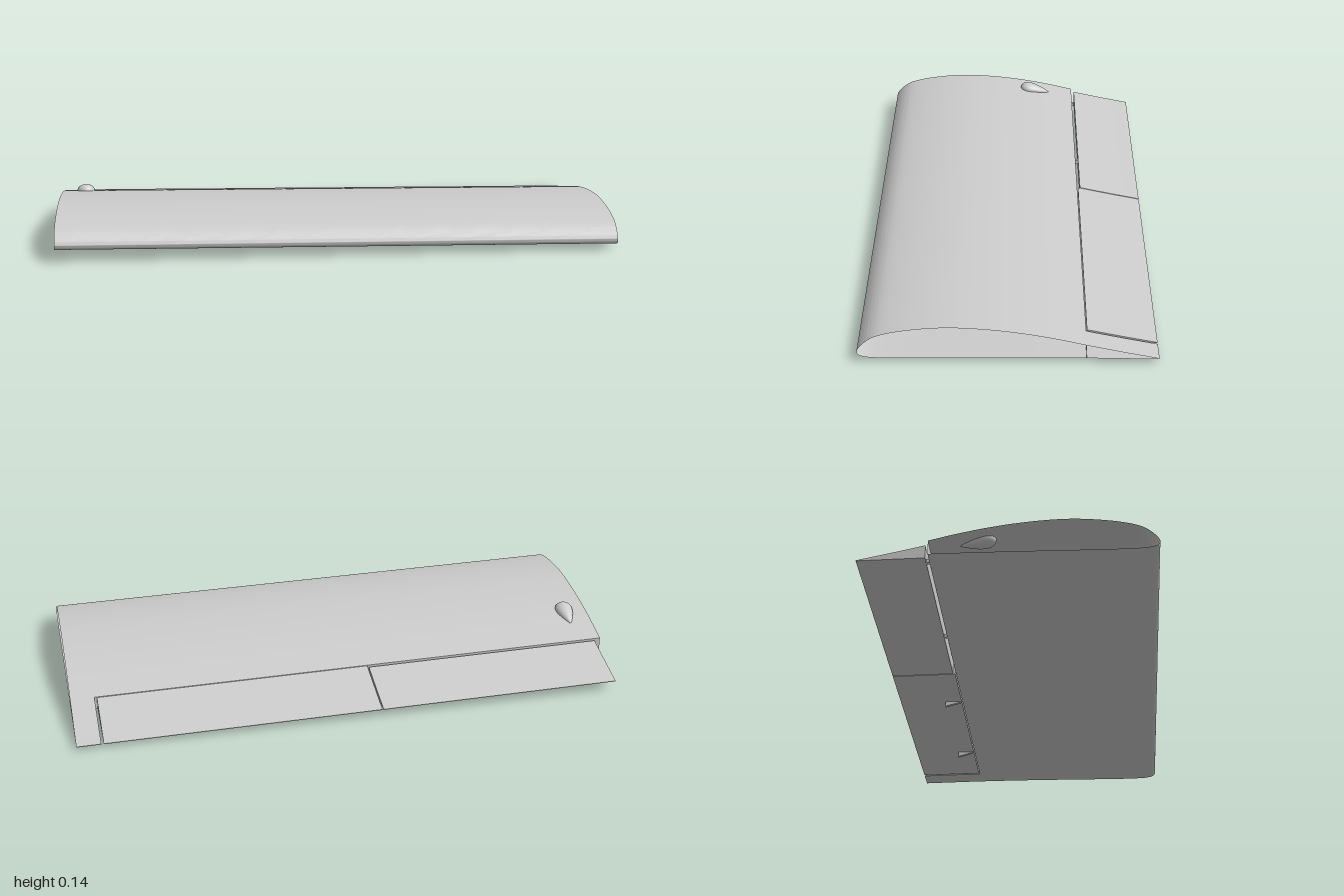
import * as THREE from 'three';
import { toCreasedNormals } from 'three/addons/utils/BufferGeometryUtils.js';

const material = new THREE.MeshStandardMaterial({ color: 0xcccccc, side: THREE.DoubleSide });
const TAIL = -0.453, HINGE = -0.236;

// The whole wing slopes down gently towards +x.
const slope = (x) => -(x + 1) * 0.0122;

// Airfoil outline [z, y] at x = -1, from the trailing edge over the nose and back.
const airfoil = new THREE.CatmullRomCurve3([
  [-0.453, 0.037], [-0.35, 0.058], [-0.235, 0.083], [-0.15, 0.103], [-0.05, 0.122], [0.05, 0.135],
  [0.17, 0.142], [0.26, 0.137], [0.35, 0.123], [0.4, 0.107], [0.432, 0.083], [0.449, 0.058],
  [0.443, 0.046], [0.42, 0.039], [0.38, 0.036], [0.2, 0.036], [0, 0.038], [-0.235, 0.038], [-0.453, 0.035],
].map(([z, y]) => new THREE.Vector3(0, y, z)), false, 'centripetal');
const outline = airfoil.getPoints(180).map((p) => [p.z, p.y]);
const nose = outline.reduce((best, p, i) => (p[0] > outline[best][0] ? i : best), 0);
const upper = outline.slice(0, nose + 1);
const lower = outline.slice(nose).reverse();

// Height of one surface at depth z.
function heightAt(side, z) {
  const i = Math.max(1, side.findIndex((p) => p[0] >= z));
  const [a, b] = [side[i - 1], side[i]];
  return a[1] + (b[1] - a[1]) * (z - a[0]) / (b[0] - a[0]);
}

// The part of the airfoil between two depths, top first and then bottom.
function slice(z0, z1) {
  const inside = (p) => p[0] > z0 + 1e-4 && p[0] < z1 - 1e-4;
  const ends = (side) => [[z0, heightAt(side, z0)], ...side.filter(inside),
    ...(z1 < 0.44 ? [[z1, heightAt(side, z1)]] : [])];
  const top = ends(upper), bottom = ends(lower).reverse();
  return z1 < 0.44 ? [...top, ...bottom] : [...top, outline[nose], ...bottom];
}

// Skin swept along x; the outline is closed, each end may be capped.
function panel(name, profile, x0, x1, cap0, cap1) {
  const position = [], index = [], n = profile.length;
  for (const x of [x0, x1]) for (const [z, y] of profile) position.push(x, y + slope(x), z);
  for (let i = 0; i < n; i++) {
    const j = (i + 1) % n;
    index.push(i, j, i + n, j, j + n, i + n);
  }
  const faces = THREE.ShapeUtils.triangulateShape(profile.map(([z, y]) => new THREE.Vector2(z, y)), []);
  for (const [a, b, c] of faces) {
    if (cap0) index.push(a, b, c);
    if (cap1) index.push(a + n, c + n, b + n);
  }
  const geometry = new THREE.BufferGeometry();
  geometry.setAttribute('position', new THREE.Float32BufferAttribute(position, 3));
  geometry.setIndex(index);
  const mesh = new THREE.Mesh(toCreasedNormals(geometry, 0.6), material);
  mesh.name = name;
  return mesh;
}

// Small wedge hanging under the hinge line.
function controlHorn(x) {
  const shape = new THREE.Shape([[0.243, 0.042], [0.297, 0.042], [0.297, 0.0205], [0.243, 0.035]]
    .map(([z, y]) => new THREE.Vector2(z, y)));
  const geometry = new THREE.ExtrudeGeometry(shape, { depth: 0.012, bevelEnabled: false });
  geometry.translate(0, 0, -0.006).rotateY(Math.PI / 2);
  const mesh = new THREE.Mesh(geometry, material);
  mesh.name = 'controlHorn';
  mesh.position.set(x, slope(x), 0);
  return mesh;
}

// Teardrop cover: a sphere narrowed towards its rear.
function teardropCover() {
  const geometry = new THREE.SphereGeometry(1, 32, 20).rotateX(Math.PI / 2);
  const p = geometry.attributes.position;
  for (let i = 0; i < p.count; i++) {
    const k = (1 + 0.6 * p.getZ(i)) / 1.15;
    p.setXYZ(i, p.getX(i) * k * 0.03, p.getY(i) * k * 0.022, p.getZ(i) * 0.055);
  }
  geometry.computeVertexNormals();
  const mesh = new THREE.Mesh(geometry, material);
  mesh.name = 'teardropCover';
  mesh.position.set(-0.925, 0.114, -0.093);
  mesh.rotation.x = -0.2;
  return mesh;
}

export function createModel() {
  const wing = new THREE.Group();
  wing.name = 'wing';

  // Hollow main skin with a rear wall, open at both ends
  wing.add(panel('mainWing', slice(HINGE, 0.46), -1, 0.808, false, false));

  // Fixed trailing corner, aileron and flap
  wing.add(panel('tipCorner', slice(TAIL, HINGE), 0.73, 0.808, true, false));
  wing.add(panel('aileron', slice(TAIL, HINGE - 0.003), -0.178, 0.722, true, true));
  wing.add(panel('flap', slice(TAIL, HINGE - 0.01), -0.977, -0.182, true, true));

  // Hinge brackets bridging the flap gap
  for (const x of [-0.94, -0.45]) {
    const bracket = new THREE.Mesh(new THREE.BoxGeometry(0.012, 0.012, 0.04), material);
    bracket.name = 'flapBracket';
    bracket.position.set(x, 0.045 + slope(x), HINGE - 0.01);
    wing.add(bracket);
  }

  for (const x of [0.05, 0.51]) wing.add(controlHorn(x));
  wing.add(teardropCover());
  return wing;
}
